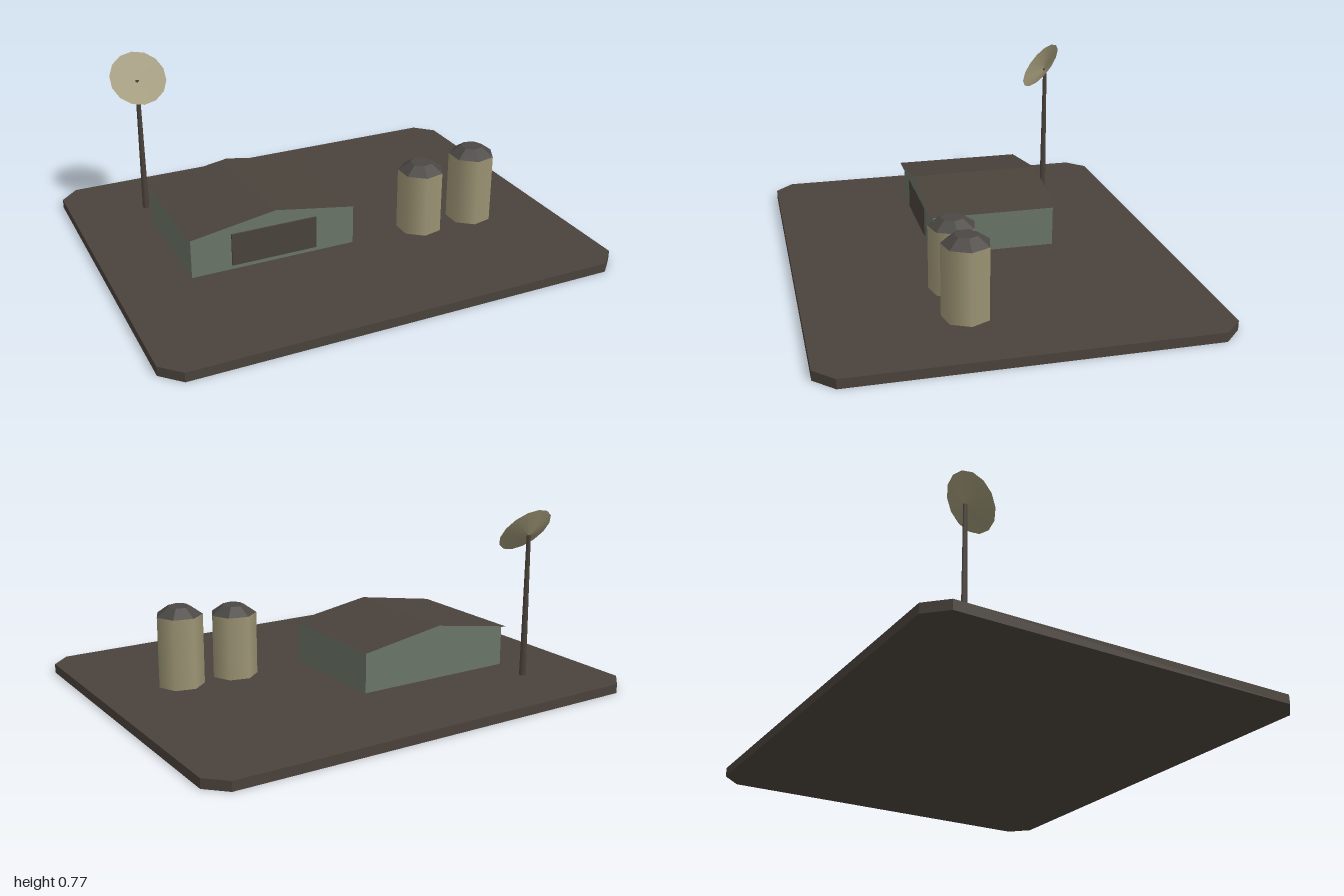
import * as THREE from 'three';

const material = (name, color, extra = {}) => {
  const m = new THREE.MeshStandardMaterial({ color, ...extra });
  m.name = name;
  return m;
};

const polygon = (points) => new THREE.Shape(points.map(([x, y]) => new THREE.Vector2(x, y)));

export function createModel() {
  const model = new THREE.Group();
  model.name = 'outpost';

  const earth = material('dark brown', 0x4a423b);
  const green = material('grey green', 0x6a7466);
  const tan = material('tan', 0x9c9474);
  const dishTan = material('dish tan', 0x9c9474, { side: THREE.DoubleSide });
  const grey = material('dark grey', 0x4a4744);

  const add = (parent, name, geometry, mat, x = 0, y = 0, z = 0) => {
    const mesh = new THREE.Mesh(geometry, mat);
    mesh.name = name;
    mesh.position.set(x, y, z);
    parent.add(mesh);
    return mesh;
  };

  // Ground slab with clipped corners
  const ground = 0.04, w = 1, d = 0.817, c = 0.08;
  const slab = new THREE.ExtrudeGeometry(polygon([
    [-w + c, -d], [w - c, -d], [w, -d + c], [w, d - c],
    [w - c, d], [-w + c, d], [-w, d - c], [-w, -d + c],
  ]), { depth: ground, bevelEnabled: false }).rotateX(-Math.PI / 2);
  add(model, 'groundSlab', slab, earth);

  // Building: walls, gabled roof with a small overhang, wide front door
  const building = new THREE.Group();
  building.name = 'building';
  building.position.set(-0.32, 0, -0.067);
  model.add(building);
  const wallTop = 0.218, wallDepth = 0.54, roofDepth = 0.574;
  add(building, 'walls', new THREE.BoxGeometry(0.73, wallTop - ground, wallDepth),
    green, 0, (wallTop + ground) / 2, 0);
  const roof = new THREE.ExtrudeGeometry(
    polygon([[-0.375, 0], [0.375, 0], [0, 0.061]]),
    { depth: roofDepth, bevelEnabled: false });
  add(building, 'roof', roof, [green, earth], 0, wallTop, -roofDepth / 2);
  add(building, 'door', new THREE.BoxGeometry(0.38, 0.143, 0.008),
    earth, 0, 0.131, wallDepth / 2 + 0.003);

  // Pair of seven-sided storage tanks, a corner pointing to +x
  for (const [x, top] of [[0.38, 0.315], [0.635, 0.345]]) {
    const tank = new THREE.Group();
    tank.name = 'storageTank';
    tank.position.set(x, 0, 0.19);
    model.add(tank);
    const height = top - ground, capHeight = 0.037;
    add(tank, 'tankBody',
      new THREE.CylinderGeometry(0.1, 0.1, height, 7, 1, false, Math.PI / 2),
      tan, 0, ground + height / 2, 0);
    add(tank, 'tankCap',
      new THREE.CylinderGeometry(0.048, 0.1, capHeight, 7, 1, false, Math.PI / 2).toNonIndexed(),
      grey, 0, top + capHeight / 2, 0).geometry.computeVertexNormals();
  }

  // Antenna: tapered mast carrying a shallow, tilted dish
  const antenna = new THREE.Group();
  antenna.name = 'antenna';
  antenna.position.set(-0.668, 0, -0.505);
  model.add(antenna);
  const mastHeight = 0.66 - ground;
  add(antenna, 'mast', new THREE.CylinderGeometry(0.009, 0.015, mastHeight, 6),
    earth, 0, ground + mastHeight / 2, 0);
  const dish = new THREE.CylinderGeometry(0.125, 0.0001, 0.031, 14, 1, true)
    .translate(0, 0.0155, 0);
  add(antenna, 'dish', dish, dishTan, 0, 0.658, 0).rotation.x = 0.89;

  return model;
}
